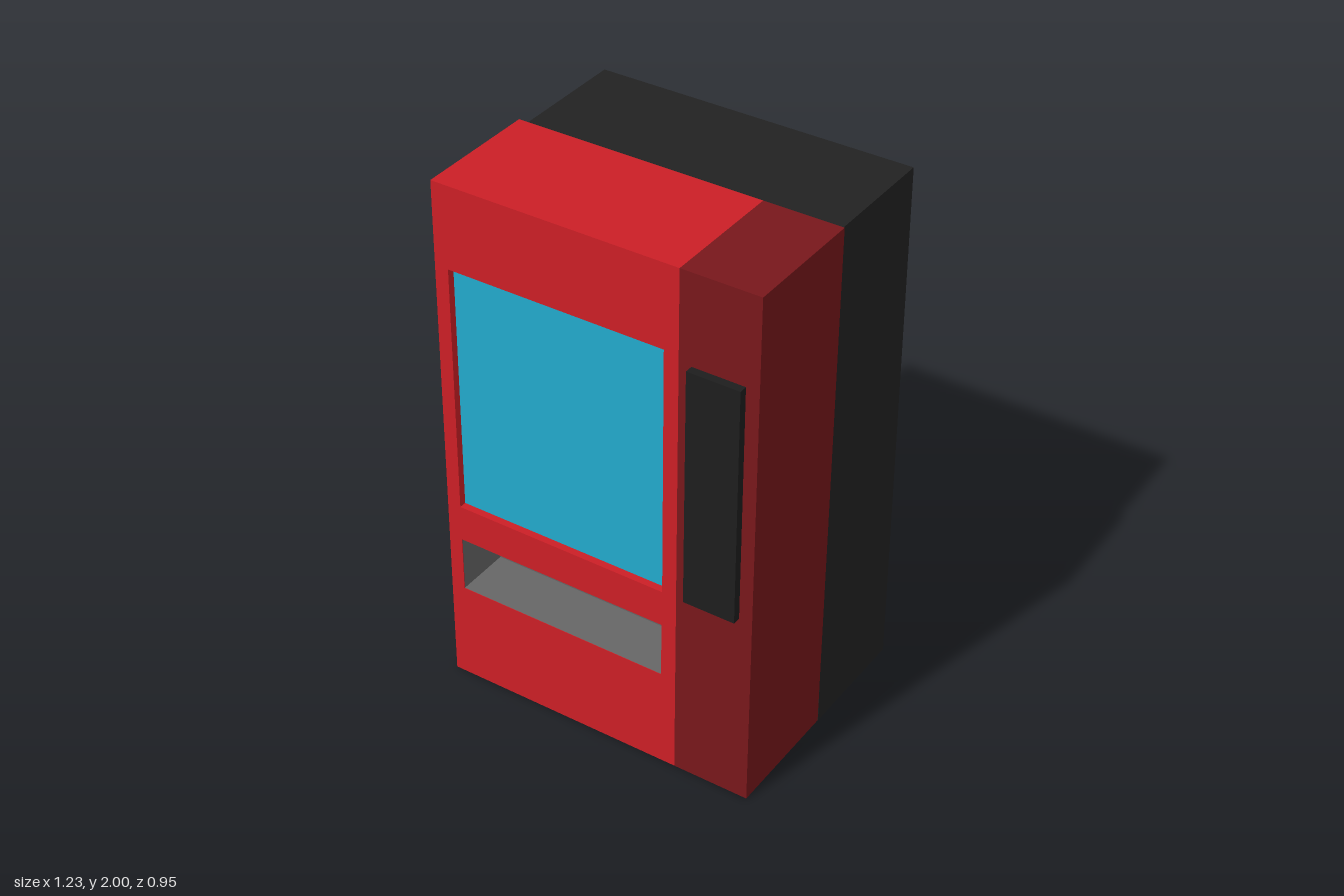
import * as THREE from 'three';

const mat = (color) => new THREE.MeshStandardMaterial({ color, flatShading: true });

// Rectangular outline, reversed for holes
function rect(PathType, x0, x1, y0, y1) {
  return new PathType([[x0, y0], [x1, y0], [x1, y1], [x0, y1]].map(([x, y]) => new THREE.Vector2(x, y)));
}

// Box given by its extents
function block(x0, x1, y0, y1, z0, z1) {
  return new THREE.BoxGeometry(x1 - x0, y1 - y0, z1 - z0)
    .translate((x0 + x1) / 2, (y0 + y1) / 2, (z0 + z1) / 2);
}

// The front section leans very slightly sideways
function lean(geometry) {
  const p = geometry.attributes.position;
  for (let i = 0; i < p.count; i++) p.setX(i, p.getX(i) + 0.0085 * (p.getY(i) - 1));
  geometry.computeVertexNormals();
  return geometry;
}

export function createModel() {
  const model = new THREE.Group();
  const add = (name, geometry, material) => {
    const mesh = new THREE.Mesh(geometry, material);
    mesh.name = name;
    model.add(mesh);
  };

  const red = mat(0xcc1f26);
  const darkRed = mat(0x78171b);
  const black = mat(0x222222);
  const zBack = -0.02, zFront = 0.445;

  // Rear cabinet
  add('rearCabinet', block(-0.58, 0.6, 0, 1.985, -0.475, zBack), black);

  // Red front section with window and dispensing slot openings
  const face = rect(THREE.Shape, -0.608, 0.318, 0, 2);
  face.holes.push(
    rect(THREE.Path, -0.556, 0.264, 0.74, 1.69),
    rect(THREE.Path, -0.556, 0.262, 0.385, 0.6));
  const front = new THREE.ExtrudeGeometry(face, { depth: zFront - zBack, bevelEnabled: false });
  add('frontSection', lean(front.translate(0, 0, zBack)), red);

  // Darker control column
  add('controlColumn', lean(block(0.318, 0.607, 0, 2, zBack, zFront)), darkRed);

  // Raised control panel
  add('controlPanel', lean(block(0.364, 0.558, 0.765, 1.665, zFront, 0.475)), mat(0x1e1e1e));

  // Recessed display window
  add('displayWindow', lean(block(-0.556, 0.264, 0.74, 1.69, 0.38, 0.418)), mat(0x22aacc));

  // Slot lining: a box turned inside out, with its front left open
  const lining = block(-0.554, 0.26, 0.387, 0.598, 0.24, zFront);
  const indices = Array.from(lining.index.array);
  indices.splice(24, 6);
  lining.setIndex(indices.reverse());
  lining.clearGroups();
  add('dispensingSlot', lean(lining), mat(0x666666));

  return model;
}
